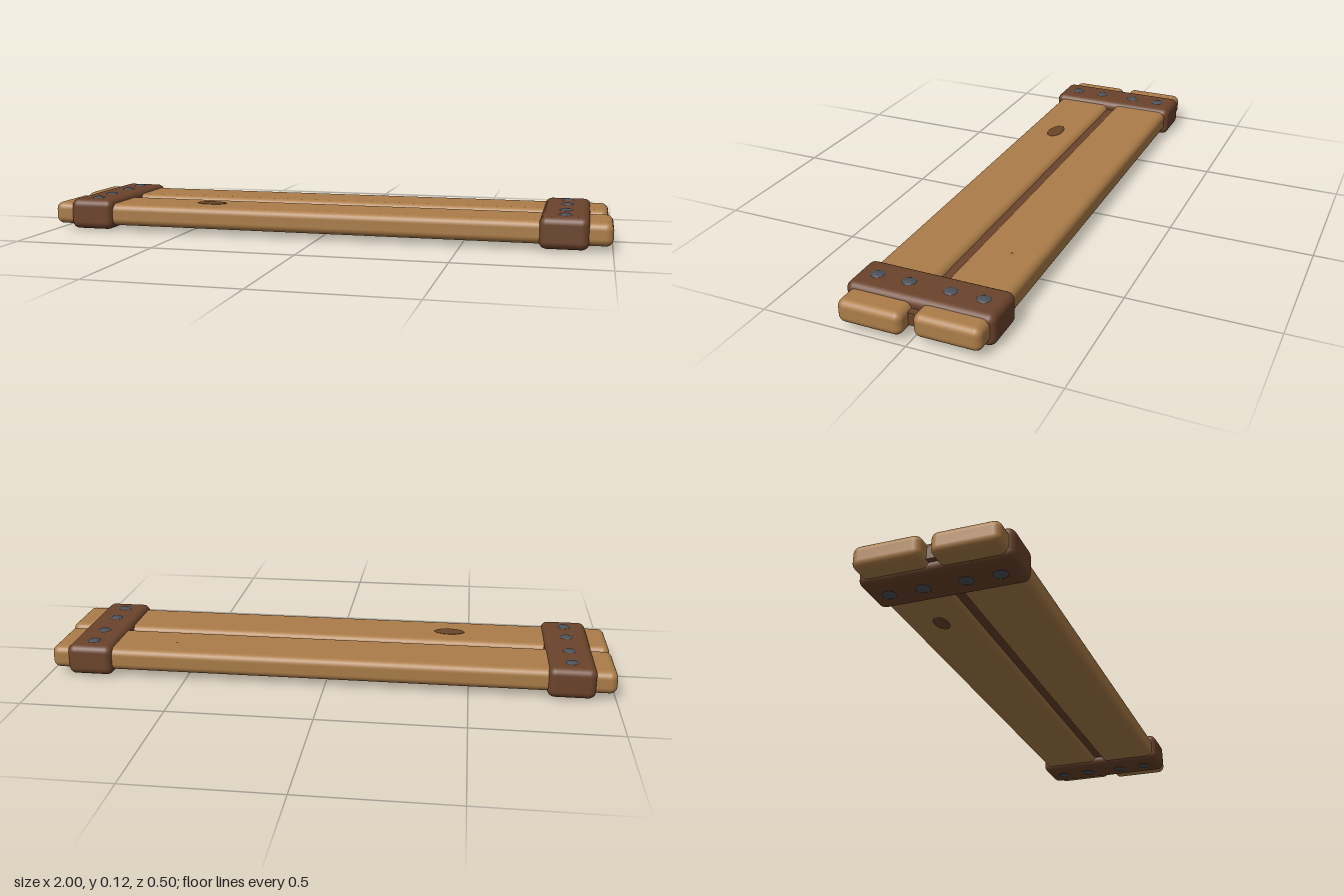
import * as THREE from 'three';
import { RoundedBoxGeometry } from 'three/addons/geometries/RoundedBoxGeometry.js';

const material = (name, color) => {
  const m = new THREE.MeshStandardMaterial({ color });
  m.name = name;
  return m;
};

export function createModel() {
  const lightWood = material('light wood', 0xab7c48);
  const darkWood = material('dark wood', 0x6b432b);
  const iron = material('iron', 0x4b5058);
  const knotWood = material('knot wood', 0x694528);

  const group = new THREE.Group();
  group.name = 'plankBoard';
  const add = (name, geometry, mat, x, y, z) => {
    const mesh = new THREE.Mesh(geometry, mat);
    mesh.name = name;
    mesh.position.set(x, y, z);
    group.add(mesh);
    return mesh;
  };
  // Rounded block given by its limits on each axis
  const block = (name, mat, [x0, x1], [y0, y1], [z0, z1], radius) =>
    add(name, new RoundedBoxGeometry(x1 - x0, y1 - y0, z1 - z0, 4, radius), mat,
      (x0 + x1) / 2, (y0 + y1) / 2, (z0 + z1) / 2);

  // Two long planks, the back one slightly shorter and higher
  block('frontPlank', lightWood, [-1, 1], [0.021, 0.1], [0.016, 0.235], 0.025);
  block('backPlank', lightWood, [-1, 0.985], [0.024, 0.104], [-0.236, -0.013], 0.025);

  // Dark strip filling the gap between the planks
  add('gapStrip', new THREE.BoxGeometry(1.9, 0.043, 0.06), darkWood, 0, 0.0615, 0.001);

  // Cross straps with domed rivets above and below
  const rivet = new THREE.SphereGeometry(1, 16, 10);
  for (const x of [-0.848, 0.842]) {
    block('strap', darkWood, [x - 0.082, x + 0.082], [0.007, 0.116], [-0.25, 0.25], 0.026);
    for (const z of [-0.18, -0.07, 0.07, 0.18]) {
      for (const y of [0.011, 0.111]) {
        add('rivet', rivet, iron, x, y, z).scale.set(0.026, 0.011, 0.026);
      }
    }
  }

  // Wood knots as flat ovals
  const knot = (x, y, z, rx, ry, rz) =>
    add('knot', new THREE.SphereGeometry(1, 20, 8), knotWood, x, y, z).scale.set(rx, ry, rz);
  knot(-0.425, 0.101, 0.115, 0.056, 0.005, 0.029);
  knot(0.548, 0.1015, -0.135, 0.035, 0.0026, 0.02);
  knot(-0.605, 0.023, -0.12, 0.042, 0.005, 0.024);

  return group;
}
